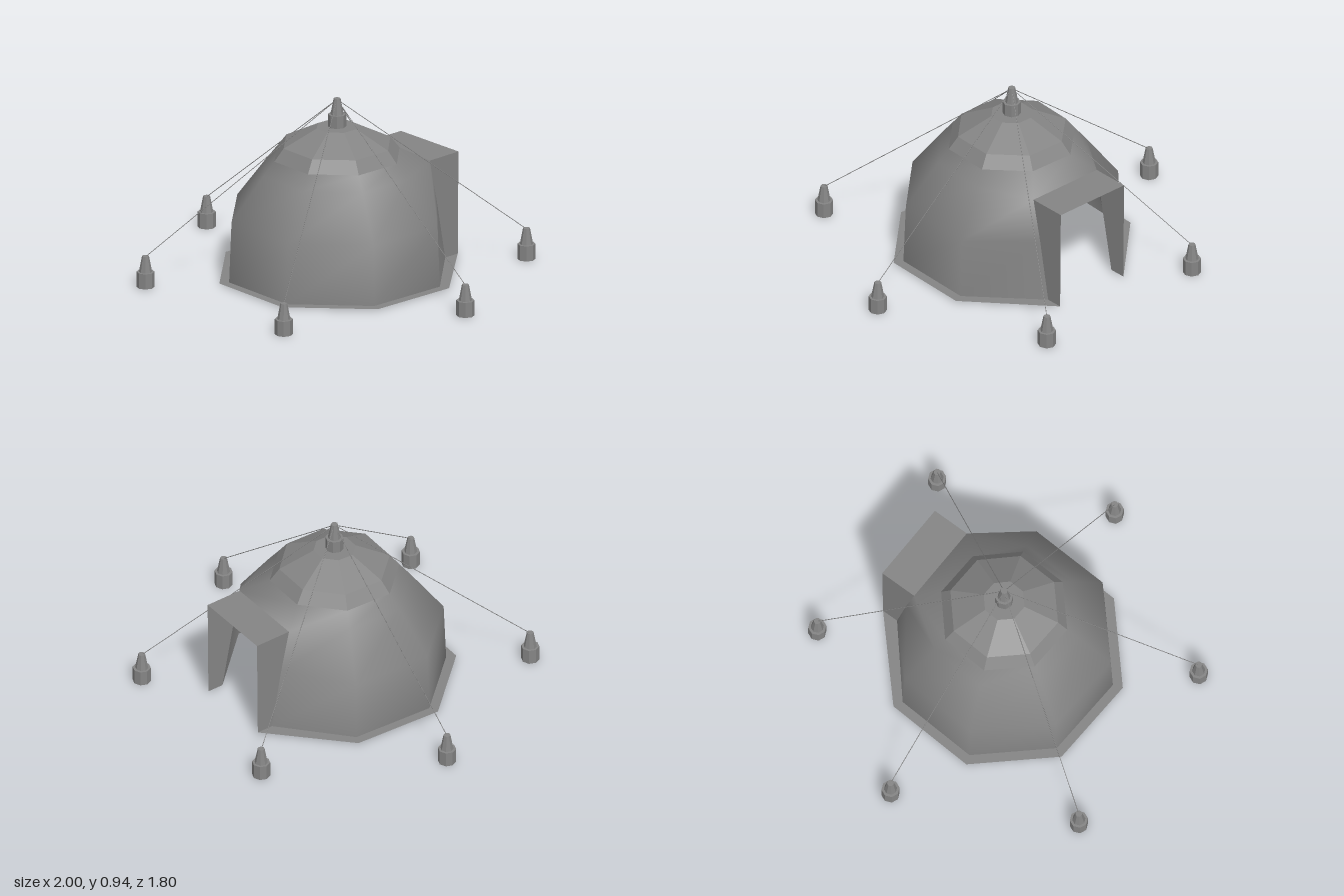
import * as THREE from 'three';
import { toCreasedNormals } from 'three/addons/utils/BufferGeometryUtils.js';

const CX = 0.01, CZ = -0.02, GROUND = 0.006;
const grey = new THREE.MeshStandardMaterial({ color: 0x848484 });
const cloth = new THREE.MeshStandardMaterial({ color: 0x848484, side: THREE.DoubleSide });

// Octagon ring running counterclockwise from the back right-hand corner of the doorway
function ring(r, y) {
  return Array.from({ length: 8 }, (_, i) => {
    const a = THREE.MathUtils.degToRad(251 - 45.2 * i);
    return [CX + r * Math.cos(a), y, CZ + r * Math.sin(a)];
  });
}

// Ring whose two doorway corners sit on the porch walls
function doorRing(r, y, zDoor) {
  const pts = ring(r, y);
  pts[0] = [-0.18, y, zDoor - 0.01];
  pts[7] = [0.255, y, zDoor];
  return pts;
}

// Joins rows of points with quads; 'closed' tells if row i wraps round
function loft(rows, closed, crease) {
  const pos = [];
  for (let i = 0; i < rows.length - 1; i++) {
    const n = rows[i].length, last = closed(i) ? n : n - 1;
    for (let j = 0; j < last; j++) {
      const k = (j + 1) % n;
      const a = rows[i][j], b = rows[i][k], c = rows[i + 1][k], d = rows[i + 1][j];
      pos.push(...a, ...b, ...c);
      if (c !== d) pos.push(...a, ...c, ...d);
    }
  }
  const g = new THREE.BufferGeometry();
  g.setAttribute('position', new THREE.Float32BufferAttribute(pos, 3));
  g.computeVertexNormals();
  return toCreasedNormals(g, crease);
}

function add(parent, name, geometry, material) {
  const m = new THREE.Mesh(geometry, material);
  m.name = name;
  parent.add(m);
  return m;
}

// Flat strip between two rows of points
function panel(parent, name, lower, upper) {
  add(parent, name, loft([lower, upper], () => false, 0.1), cloth);
}

// Eight-sided post with a tapered tip, standing on y = 0
function post(name, height, x, z) {
  const g = new THREE.Group();
  g.name = name;
  const body = new THREE.CylinderGeometry(0.047, 0.047, height, 8);
  add(g, 'shaft', toCreasedNormals(body, 0.5), grey).position.y = height / 2;
  const tip = new THREE.CylinderGeometry(0.018, 0.034, 0.085, 8);
  add(g, 'tip', toCreasedNormals(tip, 0.5), grey).position.y = height + 0.0425;
  g.position.set(x, 0, z);
  return g;
}

export function createModel() {
  const tent = new THREE.Group();
  tent.name = 'tent';

  // Smooth dome wall, open at the doorway below the porch roof
  const base = doorRing(0.585, GROUND, -0.555);
  const eave = doorRing(0.4, 0.56, -0.445);
  const shoulder = ring(0.34, 0.635);
  const wall = [base, doorRing(0.572, 0.33, -0.495), eave, shoulder];
  add(tent, 'domeWall', loft(wall, i => i === 2, 1.4), cloth);

  // Faceted crown with a flat top
  const crown = [shoulder, ring(0.29, 0.7), ring(0.11, 0.79), Array(8).fill([CX, 0.79, CZ])];
  add(tent, 'domeCrown', loft(crown, () => true, 0.1), cloth);

  // Flat ground flap around the wall
  const rim = doorRing(0.638, GROUND, -0.645);
  panel(tent, 'groundFlap', rim, base);

  // Porch: two side walls and a flat roof
  const frontRight = [-0.18, 0.56, -0.66], frontLeft = [0.255, 0.56, -0.65];
  panel(tent, 'porchRoof', [frontLeft, frontRight], [eave[7], eave[0]]);
  panel(tent, 'porchWallRight', [rim[0], base[0]], [frontRight, eave[0]]);
  panel(tent, 'porchWallLeft', [base[7], rim[7]], [eave[7], frontLeft]);

  // Centre pole
  tent.add(post('centrePole', 0.857, CX, CZ));

  // Pegs with guy ropes to the pole tip
  const pegs = [[-0.954, -0.022], [0.954, -0.022], [-0.475, -0.855], [0.545, -0.855], [-0.505, 0.85], [0.515, 0.85]];
  const top = new THREE.Vector3(CX, 0.935, CZ);
  for (const [x, z] of pegs) {
    tent.add(post('peg', 0.082, x, z));
    const rope = new THREE.LineCurve3(top, new THREE.Vector3(x, 0.162, z));
    add(tent, 'guyRope', new THREE.TubeGeometry(rope, 1, 0.002, 5), grey);
  }
  return tent;
}
